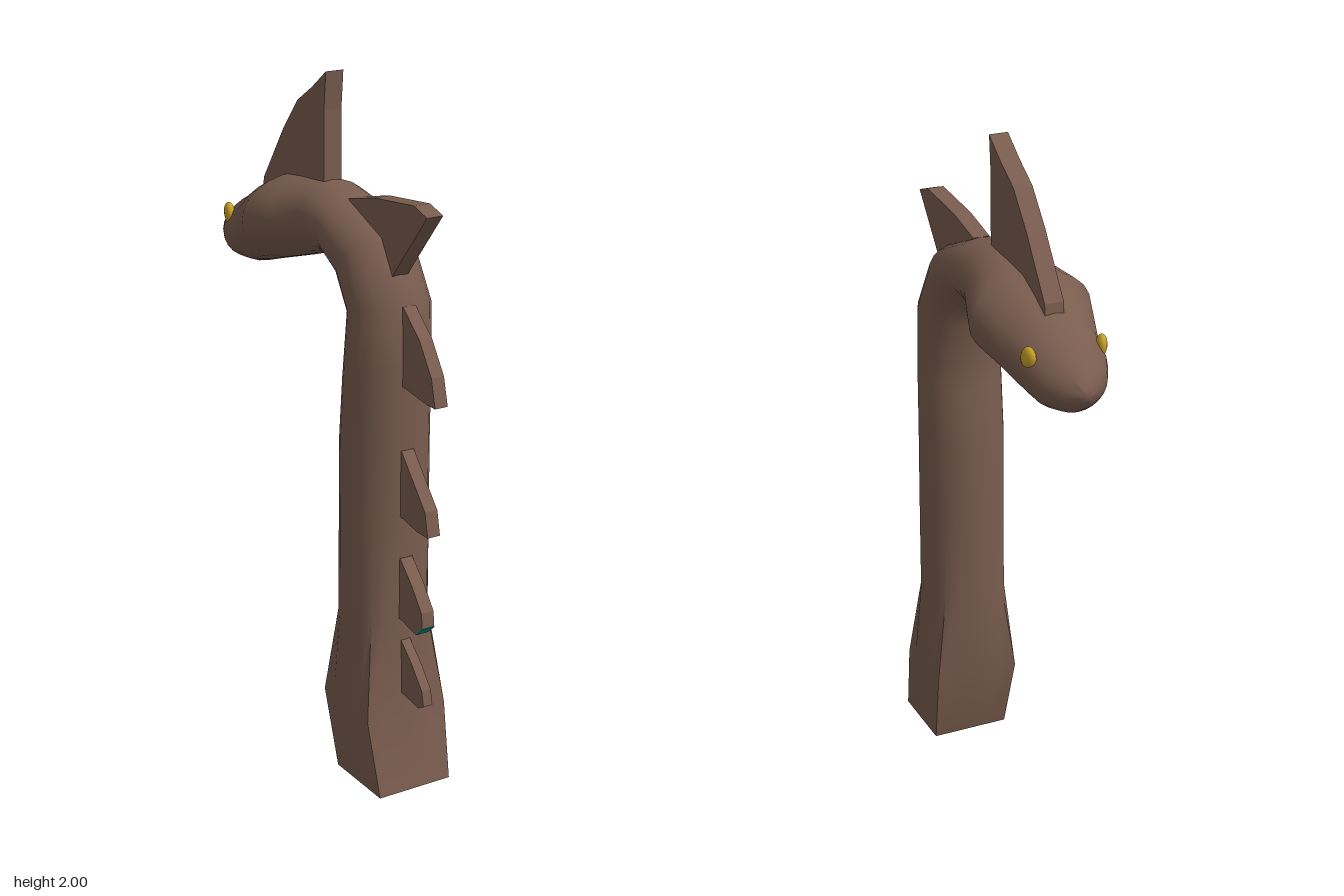
import * as THREE from 'three';
import { toCreasedNormals } from 'three/addons/utils/BufferGeometryUtils.js';

const SIDES = 24;

// Cross-sections: [back z, back y], [throat z, throat y], half width, squareness
const SECTIONS = [
  [0.45, 0, 0.22, 0, 0.118, 1],
  [0.4, 0.22, 0.165, 0.23, 0.13, 1],
  [0.39, 0.5, 0.155, 0.5, 0.13, 0.05],
  [0.39, 0.8, 0.155, 0.8, 0.13, 0],
  [0.39, 1.05, 0.155, 1.02, 0.129, 0],
  [0.395, 1.25, 0.168, 1.18, 0.126, 0],
  [0.39, 1.43, 0.19, 1.38, 0.12, 0],
  [0.29, 1.6, 0.14, 1.455, 0.118, 0],
  [0.12, 1.67, 0.07, 1.505, 0.117, 0],
  [0, 1.695, 0.02, 1.49, 0.118, 0],
  [-0.06, 1.69, -0.03, 1.48, 0.126, 0],
  [-0.13, 1.685, -0.09, 1.46, 0.15, 0],
  [-0.21, 1.675, -0.19, 1.43, 0.182, 0],
  [-0.29, 1.64, -0.29, 1.4, 0.152, 0],
  [-0.36, 1.6, -0.37, 1.375, 0.128, 0],
  [-0.42, 1.57, -0.44, 1.37, 0.118, 0],
  [-0.48, 1.535, -0.49, 1.38, 0.09, 0],
  [-0.52, 1.495, -0.52, 1.4, 0.052, 0],
  [-0.545, 1.465, -0.54, 1.425, 0.018, 0],
];

// Fin outlines in z, y and their half thickness
const FINS = [
  ['headCrest', 0.028, [[0.005, 2], [-0.07, 1.945], [-0.15, 1.895], [-0.23, 1.8], [-0.345, 1.635], [-0.35, 1.58], [-0.005, 1.66], [-0.005, 1.89]]],
  ['napeFin', 0.025, [[0.505, 1.7], [0.445, 1.72], [0.25, 1.7], [0.12, 1.67], [0.2, 1.58], [0.34, 1.5], [0.36, 1.525]]],
  ['upperBackFin', 0.02, [[0.55, 1.19], [0.53, 1.27], [0.47, 1.36], [0.39, 1.43], [0.37, 1.43], [0.37, 1.21], [0.51, 1.19]]],
  ['middleBackFin', 0.02, [[0.525, 0.81], [0.51, 0.88], [0.45, 0.95], [0.39, 1.02], [0.37, 1.02], [0.37, 0.83], [0.47, 0.81]]],
  ['lowerBackFin', 0.02, [[0.505, 0.53], [0.5, 0.575], [0.45, 0.64], [0.39, 0.7], [0.37, 0.7], [0.37, 0.52], [0.475, 0.502]]],
  ['baseBackFin', 0.015, [[0.51, 0.29], [0.5, 0.335], [0.445, 0.4], [0.39, 0.45], [0.37, 0.45], [0.37, 0.29], [0.485, 0.275]]],
];

// Loft from a square open base through a round neck to the nose
function bodyGeometry() {
  const positions = [];
  const index = [];
  for (const [bz, by, fz, fy, width, square] of SECTIONS) {
    for (let i = 0; i < SIDES; i++) {
      const a = (i / SIDES) * Math.PI * 2;
      const c = Math.cos(a), s = Math.sin(a);
      const k = 1 + square * (1 / Math.max(Math.abs(c), Math.abs(s)) - 1);
      positions.push(
        width * s * k,
        (by + fy) / 2 + ((by - fy) / 2) * c * k,
        (bz + fz) / 2 + ((bz - fz) / 2) * c * k
      );
    }
  }
  for (let r = 0; r < SECTIONS.length - 1; r++) {
    for (let i = 0; i < SIDES; i++) {
      const a = r * SIDES + i, b = r * SIDES + ((i + 1) % SIDES);
      index.push(a, b, b + SIDES, a, b + SIDES, a + SIDES);
    }
  }
  // Nose tip
  const tip = positions.length / 3;
  const last = tip - SIDES;
  positions.push(0, 1.445, -0.55);
  for (let i = 0; i < SIDES; i++) index.push(last + i, last + ((i + 1) % SIDES), tip);

  const geometry = new THREE.BufferGeometry();
  geometry.setAttribute('position', new THREE.Float32BufferAttribute(positions, 3));
  geometry.setIndex(index);
  return toCreasedNormals(geometry, 0.75);
}

// Flat plate standing in the middle plane
function finGeometry(half, outline) {
  const shape = new THREE.Shape(outline.map(([z, y]) => new THREE.Vector2(-z, y)));
  const geometry = new THREE.ExtrudeGeometry(shape, { depth: half * 2, bevelEnabled: false });
  return geometry.translate(0, 0, -half).rotateY(Math.PI / 2);
}

export function createModel() {
  const brown = new THREE.MeshStandardMaterial({ name: 'brown hide', color: 0x795c4e, side: THREE.DoubleSide });
  const yellow = new THREE.MeshStandardMaterial({ name: 'yellow eye', color: 0xc9a227 });
  const teal = new THREE.MeshStandardMaterial({ name: 'teal', color: 0x009088 });

  const model = new THREE.Group();
  model.name = 'serpent';
  const add = (name, geometry, material) => {
    const mesh = new THREE.Mesh(geometry, material);
    mesh.name = name;
    model.add(mesh);
    return mesh;
  };

  add('neckAndHead', bodyGeometry(), brown);
  for (const [name, half, outline] of FINS) add(name, finGeometry(half, outline), brown);

  // Teal underside of the lower back fin tip
  const plates = [[0.505, 0.53, 0.475, 0.502], [0.475, 0.502, 0.42, 0.5115]];
  for (const [z0, y0, z1, y1] of plates) {
    const plate = add('finUnderside', new THREE.BoxGeometry(0.04, 0.004, Math.hypot(z1 - z0, y1 - y0)), teal);
    plate.position.set(0, (y0 + y1) / 2, (z0 + z1) / 2);
    plate.rotation.x = -Math.atan2(y0 - y1, z0 - z1);
  }

  // Eyes
  for (const side of [1, -1]) {
    const eye = add(side > 0 ? 'leftEye' : 'rightEye', new THREE.SphereGeometry(1, 16, 12), yellow);
    eye.scale.set(0.016, 0.034, 0.026);
    eye.position.set(side * 0.106, 1.522, -0.412);
    eye.rotation.set(-0.3, side * 0.25, 0);
  }
  return model;
}
